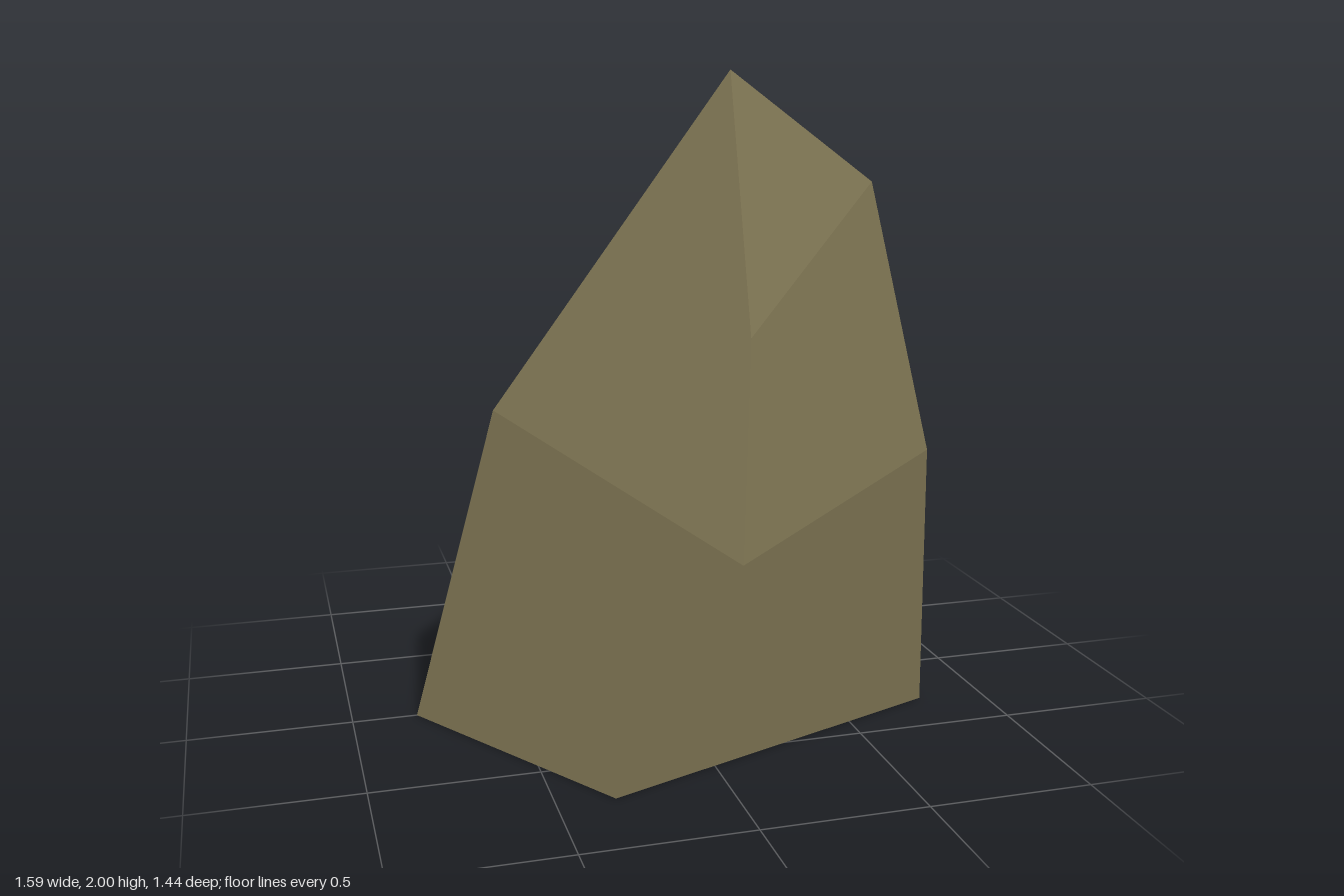
import * as THREE from 'three';

// Corner points of the boulder
const P = {
  baseRight: [-0.80, 0, 0], baseFront: [-0.33, 0, 0.72],
  baseLeft: [0.79, 0, 0.30], baseBack: [-0.11, 0, -0.72],
  shoulder: [-0.555, 1.0, 0.12], knee: [0.07, 0.62, 0.63],
  brow: [0.15, 1.24, 0.44], peak: [0.19, 2.0, 0.10],
  crestFront: [0.585, 1.67, 0.27], crestBack: [0.54, 1.67, -0.18],
  ledgeFront: [0.78, 0.835, 0.31], ledgeBack: [0.59, 0.835, -0.24],
};

// Facets, counter-clockwise from outside; the underside is open
const FACETS = [
  ['baseRight', 'baseFront', 'knee', 'shoulder'],
  ['baseFront', 'baseLeft', 'ledgeFront', 'knee'],
  ['baseLeft', 'baseBack', 'ledgeBack', 'ledgeFront'],
  ['baseBack', 'baseRight', 'shoulder'],
  ['baseBack', 'shoulder', 'ledgeBack'],
  ['shoulder', 'knee', 'brow', 'peak'],
  ['knee', 'ledgeFront', 'crestFront', 'brow'],
  ['brow', 'crestFront', 'peak'],
  ['ledgeFront', 'ledgeBack', 'crestBack', 'crestFront'],
  ['crestFront', 'crestBack', 'peak'],
  ['crestBack', 'shoulder', 'peak'],
  ['crestBack', 'ledgeBack', 'shoulder'],
];

// Fan each facet into triangles that share one normal, so it reads as one plane
function facetGeometry(facets) {
  const positions = [], normals = [];
  for (const names of facets) {
    const pts = names.map((n) => new THREE.Vector3(...P[n]));
    const normal = new THREE.Vector3();
    pts.forEach((p, i) => normal.add(p.clone().cross(pts[(i + 1) % pts.length])));
    normal.normalize();
    for (let i = 1; i < pts.length - 1; i++) {
      for (const p of [pts[0], pts[i], pts[i + 1]]) {
        positions.push(p.x, p.y, p.z);
        normals.push(normal.x, normal.y, normal.z);
      }
    }
  }
  const geometry = new THREE.BufferGeometry();
  geometry.setAttribute('position', new THREE.Float32BufferAttribute(positions, 3));
  geometry.setAttribute('normal', new THREE.Float32BufferAttribute(normals, 3));
  return geometry;
}

export function createModel() {
  const stone = new THREE.MeshStandardMaterial({ color: 0x7a7150, side: THREE.DoubleSide });
  stone.name = 'olive stone';

  const boulder = new THREE.Mesh(facetGeometry(FACETS), stone);
  boulder.name = 'boulder';

  const group = new THREE.Group();
  group.name = 'rock';
  group.add(boulder);
  return group;
}
